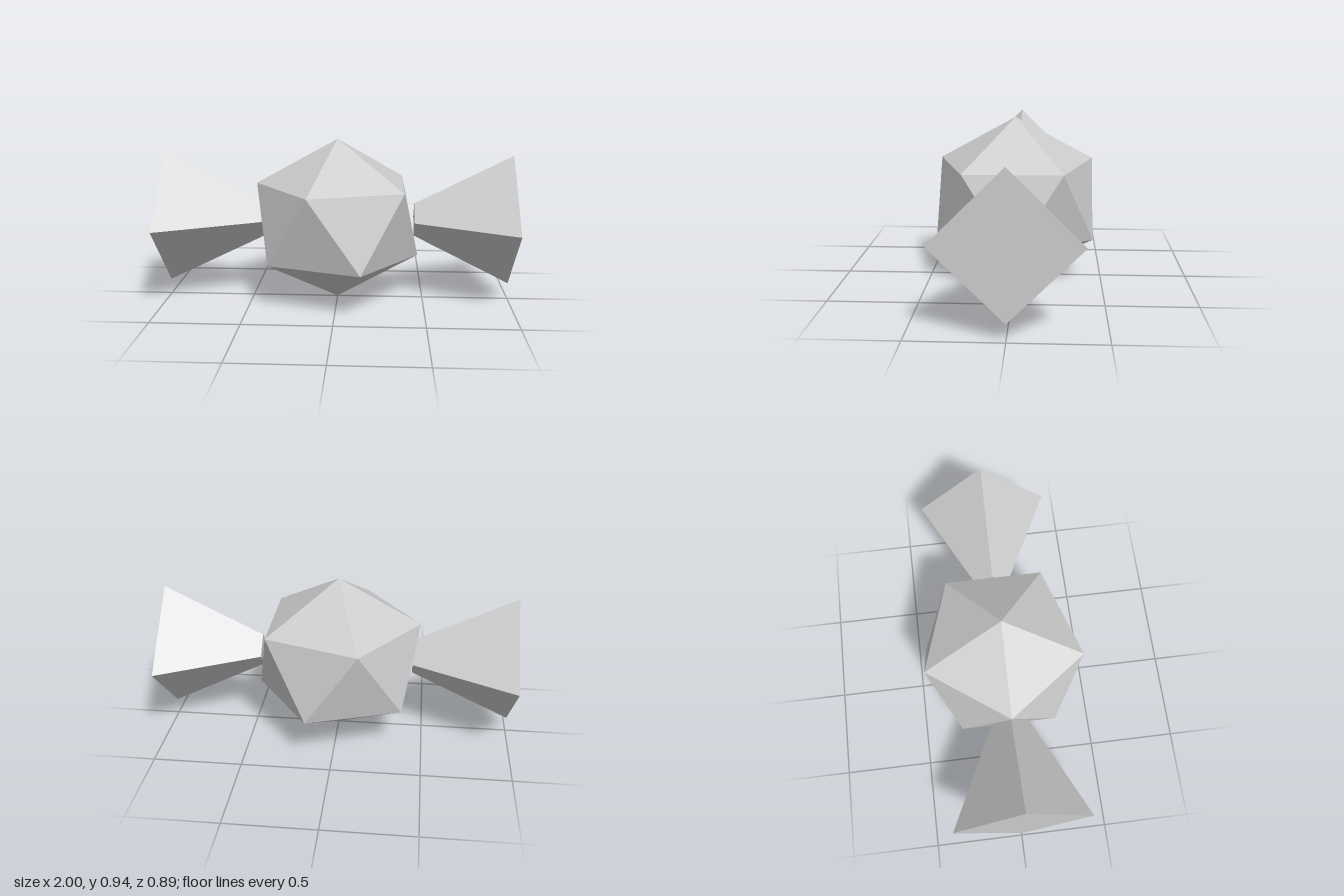
import * as THREE from 'three';
import { ConvexGeometry } from 'three/addons/geometries/ConvexGeometry.js';

export function createModel() {
  const model = new THREE.Group();
  const grey = new THREE.MeshStandardMaterial({ color: 0xcccccc });
  grey.name = 'light grey';
  grey.flatShading = true;

  const R = 0.47; // core radius, also its centre height

  // Twenty-sided core: two poles and two staggered rings of five
  const points = [new THREE.Vector3(0, R, 0), new THREE.Vector3(0, -R, 0)];
  for (let i = 0; i < 5; i++) {
    const a = (i * Math.PI * 2) / 5;
    const x = 0.4675 * Math.cos(a), z = 0.4675 * Math.sin(a);
    points.push(new THREE.Vector3(-x, 0.21, z), new THREE.Vector3(x, -0.21, z));
  }
  const core = new THREE.Mesh(new ConvexGeometry(points), grey);
  core.name = 'core';
  core.position.y = R;
  model.add(core);

  // Four-sided flared wings, narrow end against the core
  function addWing(name, side, inner, rInner, rOuter) {
    const length = 1 - inner;
    const wing = new THREE.Mesh(new THREE.CylinderGeometry(rOuter, rInner, length, 4), grey);
    wing.name = name;
    wing.rotation.z = (-side * Math.PI) / 2;
    wing.position.set(side * (inner + length / 2), 0.472, 0);
    model.add(wing);
  }
  addWing('leftWing', 1, 0.443, 0.096, 0.378);
  addWing('rightWing', -1, 0.43, 0.107, 0.385);

  return model;
}
